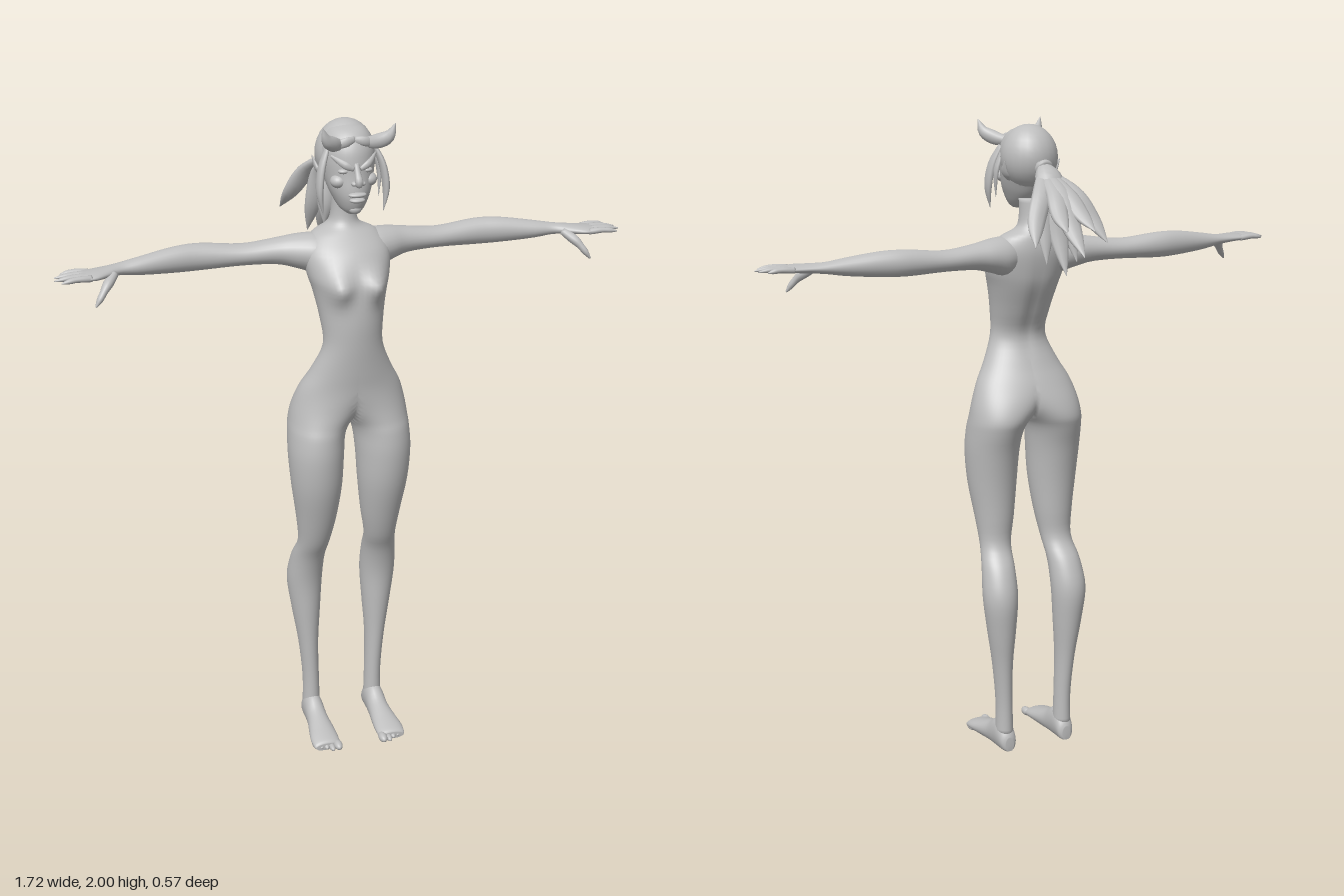
import * as THREE from 'three';

const clay = new THREE.MeshStandardMaterial({ color: 0xbebebe });
clay.name = 'clay grey';
const V = (x, y, z) => new THREE.Vector3(x, y, z);

// Smooth value between the rows of a cross-section table
function sample(rows, t) {
  const i = Math.min(Math.floor(t), rows.length - 2), f = t - i;
  const at = (k) => rows[Math.max(0, Math.min(rows.length - 1, k))];
  return rows[i].map((b, c) => {
    const a = at(i - 1)[c], d = at(i + 1)[c], e = at(i + 2)[c];
    return b + 0.5 * f * (d - a + f * (2 * a - 5 * b + 4 * d - e + f * (3 * (b - d) + e - a)));
  });
}

// Closed skin over interpolated sections; place(row, angle) gives a point
function loft(rows, place, around = 24, steps = 4) {
  const pos = [], idx = [], n = (rows.length - 1) * steps;
  for (let i = 0; i <= n; i++) {
    const row = sample(rows, i / steps);
    for (let j = 0; j < around; j++) pos.push(...place(row, (j / around) * Math.PI * 2));
  }
  for (let i = 0; i < n; i++) for (let j = 0; j < around; j++) {
    const a = i * around + j, b = i * around + (j + 1) % around;
    idx.push(a, b, a + around, b, b + around, a + around);
  }
  for (const ring of [0, n]) {
    const c = [0, 0, 0], s = ring * around, id = pos.length / 3;
    for (let j = 0; j < around; j++) for (let k = 0; k < 3; k++) c[k] += pos[(s + j) * 3 + k] / around;
    pos.push(...c);
    for (let j = 0; j < around; j++) {
      const a = s + j, b = s + (j + 1) % around;
      idx.push(id, ring ? a : b, ring ? b : a);
    }
  }
  // Turn the faces outwards if the signed volume is negative
  let vol = 0;
  const p = (k) => V(pos[k * 3], pos[k * 3 + 1] - 1, pos[k * 3 + 2]);
  for (let k = 0; k < idx.length; k += 3) vol += p(idx[k]).dot(p(idx[k + 1]).cross(p(idx[k + 2])));
  if (vol < 0) for (let k = 0; k < idx.length; k += 3) [idx[k], idx[k + 1]] = [idx[k + 1], idx[k]];
  const g = new THREE.BufferGeometry();
  g.setAttribute('position', new THREE.Float32BufferAttribute(pos, 3));
  g.setIndex(idx);
  g.computeVertexNormals();
  return g;
}

// Tapered strand along a few points; flat squeezes it across its width
function strand(points, radii, flat = 1, wide = V(1, 0, 0)) {
  const curve = new THREE.CatmullRomCurve3(points.map((q) => V(...q)));
  const last = radii.length - 1;
  return loft(radii.map((r, i) => [i / last, r]), ([t, r], a) => {
    const u = Math.max(0, Math.min(1, t)), c = curve.getPoint(u), d = curve.getTangent(u);
    const n = d.clone().cross(wide).normalize(), w = n.clone().cross(d).normalize();
    const q = c.addScaledVector(w, Math.cos(a) * r).addScaledVector(n, Math.sin(a) * r * flat);
    return [q.x, q.y, q.z];
  }, 12);
}

function blob(x, y, z, rx, ry, rz) {
  return new THREE.SphereGeometry(1, 24, 16).scale(rx, ry, rz).translate(x, y, z);
}

// Half body: y, inner x, outer x, back z, front z
const bodyRows = [
  [1.77, -0.036, 0.036, 0.03, 0.105], [1.71, -0.038, 0.038, 0.025, 0.105],
  [1.68, -0.052, 0.052, 0.015, 0.115], [1.655, -0.1, 0.1, 0.005, 0.14],
  [1.61, -0.128, 0.128, 0, 0.185], [1.55, -0.124, 0.124, 0.008, 0.217],
  [1.5, -0.11, 0.11, 0.022, 0.228], [1.42, -0.095, 0.095, 0.06, 0.234],
  [1.34, -0.09, 0.09, 0.094, 0.23], [1.26, -0.12, 0.122, 0.065, 0.222],
  [1.2, -0.13, 0.155, 0.035, 0.215], [1.14, -0.065, 0.175, 0.012, 0.212],
  [1.09, -0.01, 0.184, 0.004, 0.216], [1.05, 0.014, 0.188, 0.014, 0.224],
  [0.98, 0.022, 0.19, 0.035, 0.228], [0.88, 0.028, 0.182, 0.052, 0.217],
  [0.77, 0.041, 0.166, 0.06, 0.187], [0.68, 0.057, 0.157, 0.06, 0.156],
  [0.61, 0.063, 0.168, 0.015, 0.123], [0.52, 0.065, 0.176, -0.015, 0.102],
  [0.41, 0.072, 0.162, -0.007, 0.096], [0.29, 0.08, 0.143, 0.01, 0.091],
  [0.16, 0.079, 0.131, 0.021, 0.088], [0.05, 0.076, 0.132, 0.022, 0.09],
];
function halfBody(s) {
  const g = loft(bodyRows, ([y, inn, out, zb, zf], a) => {
    let x = (inn + out) / 2 + Math.cos(a) * (out - inn) / 2;
    let z = (zb + zf) / 2 + Math.sin(a) * (zf - zb) / 2;
    if (x < 1e-4) x = 0;
    const bust = Math.exp(-(((x - 0.062) / 0.036) ** 2) - ((y - 1.525) / 0.042) ** 2);
    const spine = Math.exp(-((x / 0.02) ** 2) - ((y - 1.43) / 0.13) ** 2);
    z += Math.sin(a) > 0 ? 0.042 * bust * Math.sin(a) : 0.008 * spine;
    return [s * x, y, z];
  }, 48);
  // Level the normals on the centre line so the halves meet smoothly
  const p = g.attributes.position, n = g.attributes.normal;
  for (let i = 0; i < p.count; i++) if (Math.abs(p.getX(i)) < 1e-4) {
    const v = V(0, n.getY(i), n.getZ(i)).normalize();
    n.setXYZ(i, v.x, v.y, v.z);
  }
  return g;
}

// Arm and palm: x, bottom y, top y, back z, front z
const armRows = [
  [0.04, 1.56, 1.65, 0.03, 0.13], [0.09, 1.54, 1.658, 0.008, 0.14],
  [0.14, 1.553, 1.655, 0.003, 0.122], [0.2, 1.567, 1.645, 0.006, 0.095],
  [0.3, 1.57, 1.634, 0.004, 0.08], [0.42, 1.566, 1.645, 0, 0.073],
  [0.5, 1.568, 1.644, 0.01, 0.079], [0.6, 1.576, 1.63, 0.03, 0.09],
  [0.66, 1.585, 1.62, 0.042, 0.095], [0.7, 1.588, 1.617, 0.05, 0.118],
  [0.74, 1.59, 1.615, 0.056, 0.143], [0.772, 1.593, 1.612, 0.06, 0.144],
  [0.782, 1.597, 1.608, 0.068, 0.136],
];
// Foot: z, centre x, half width, top y
const footRows = [
  [0.016, 0.103, 0.014, 0.045], [0.026, 0.103, 0.026, 0.065], [0.055, 0.104, 0.031, 0.1],
  [0.09, 0.104, 0.032, 0.095], [0.13, 0.104, 0.034, 0.07], [0.18, 0.106, 0.041, 0.052],
  [0.22, 0.108, 0.045, 0.04], [0.25, 0.108, 0.043, 0.03], [0.258, 0.108, 0.038, 0.022],
];
// Head: y, half width, back z, front z
const headRows = [
  [1.735, 0.018, 0.125, 0.177], [1.75, 0.036, 0.09, 0.19], [1.78, 0.052, 0.055, 0.202],
  [1.81, 0.064, 0.035, 0.203], [1.85, 0.074, 0.012, 0.198], [1.885, 0.079, 0, 0.196],
  [1.92, 0.078, -0.002, 0.19], [1.95, 0.067, 0.01, 0.174], [1.972, 0.047, 0.035, 0.147],
  [1.984, 0.012, 0.075, 0.105],
];

export function createModel() {
  const model = new THREE.Group();
  const add = (name, geometry) => {
    const m = new THREE.Mesh(geometry, clay);
    m.name = name;
    model.add(m);
  };

  for (const s of [1, -1]) {
    const side = s > 0 ? 'left' : 'right';
    const part = (name, pts, radii, flat, wide) =>
      add(side + name, strand(pts.map(([x, y, z]) => [s * x, y, z]), radii, flat, wide));
    add(side + 'BodyAndLeg', halfBody(s));
    add(side + 'Arm', loft(armRows, ([x, yb, yt, zb, zf], a) => [s * x,
      (yb + yt) / 2 + Math.sin(a) * (yt - yb) / 2, (zb + zf) / 2 + Math.cos(a) * (zf - zb) / 2]));

    // Fingers and thumb
    [[0.068, 0.066, 0.835], [0.09, 0.094, 0.855], [0.112, 0.12, 0.858], [0.134, 0.147, 0.842]]
      .forEach(([z0, z1, tip]) => part('Finger', [[0.755, 1.602, z0], [0.8, 1.605, (z0 + z1) / 2], [tip, 1.6, z1]],
        [0.01, 0.0105, 0.009, 0.008, 0.002], 0.9, V(0, 0, 1)));
    part('Thumb', [[0.685, 1.6, 0.1], [0.715, 1.575, 0.135], [0.735, 1.55, 0.152], [0.752, 1.526, 0.16]],
      [0.013, 0.016, 0.012, 0.01, 0.003], 0.9, V(0, 0, 1));

    // Foot and toes
    add(side + 'Foot', loft(footRows, ([z, cx, w, top], a) =>
      [s * (cx + Math.cos(a) * w), Math.max(0, top * (0.45 + 0.55 * Math.sin(a))), z]));
    [0.075, 0.095, 0.111, 0.127, 0.142].forEach((x, i) => {
      const r = i ? 0.0095 : 0.0135;
      add(side + 'Toe', blob(s * x, r, 0.26 - 0.007 * i * (i > 1 ? 1 : 0), r, r, i ? 0.022 : 0.025));
    });

    // Horn, ear and hanging side locks
    part('Horn', [[0.035, 1.935, 0.155], [0.066, 1.945, 0.185], [0.092, 1.963, 0.205], [0.106, 2.0, 0.215]],
      [0.014, 0.021, 0.017, 0.001], 0.8, V(0, 1, 0));
    part('Ear', [[0.068, 1.83, 0.085], [0.082, 1.85, 0.075], [0.092, 1.885, 0.055]],
      [0.012, 0.018, 0.002], 0.4, V(0, 0, 1));
    part('SideLock', [[0.068, 1.925, 0.135], [0.09, 1.87, 0.15], [0.099, 1.8, 0.16], [0.09, 1.735, 0.165]],
      [0.012, 0.02, 0.019, 0.001], 0.5, V(0, 0, 1));
    part('ThinLock', [[0.07, 1.91, 0.12], [0.088, 1.85, 0.125], [0.085, 1.77, 0.135]],
      [0.01, 0.014, 0.001], 0.5, V(0, 0, 1));

    // Half of the face
    part('Brow', [[0.01, 1.872, 0.2], [0.035, 1.885, 0.195], [0.066, 1.906, 0.162]], [0.006, 0.011, 0.004], 0.7, V(0, 1, 0));
    add(side + 'Eye', blob(s * 0.034, 1.864, 0.179, 0.017, 0.008, 0.014));
    add(side + 'Cheek', blob(s * 0.045, 1.832, 0.163, 0.024, 0.02, 0.025));
    add(side + 'Nostril', blob(s * 0.012, 1.833, 0.209, 0.009, 0.007, 0.011));
    part('HairlineTuft', [[0, 1.95, 0.172], [0.028, 1.945, 0.178], [0.058, 1.935, 0.168]],
      [0.01, 0.014, 0.01], 0.6, V(0, 1, 0));

    // Outer ponytail locks
    [[0.05, 1.60, -0.14], [0.118, 1.66, -0.205], [0.045, 1.705, -0.262], [0.03, 1.65, -0.03]].forEach(([x, y, z]) =>
      part('PonytailLock', [[0.006, 1.86, -0.025], [x * 0.45, 1.8, z * 0.4 - 0.03], [x * 0.8, (y + 1.8) / 2 - 0.01, z * 0.72 - 0.01], [x, y, z]],
        [0.014, 0.026, 0.03, 0.022, 0.001], 0.55));
  }

  // Head and hair
  add('head', loft(headRows, ([y, w, zb, zf], a) =>
    [Math.cos(a) * w, y, (zb + zf) / 2 + Math.sin(a) * (zf - zb) / 2], 32));
  add('hairCap', blob(0, 1.893, 0.079, 0.087, 0.098, 0.09));
  add('nose', strand([[0, 1.885, 0.19], [0, 1.86, 0.204], [0, 1.835, 0.218], [0, 1.825, 0.2]],
    [0.008, 0.009, 0.012, 0.005]));
  add('upperLip', blob(0, 1.798, 0.2, 0.027, 0.008, 0.016));
  add('lowerLip', blob(0, 1.782, 0.199, 0.023, 0.008, 0.017));
  add('chin', blob(0, 1.751, 0.179, 0.019, 0.015, 0.015));

  // Ponytail tie and middle locks
  const tie = new THREE.TorusGeometry(0.02, 0.009, 10, 24).rotateX(-0.5).translate(0, 1.867, -0.02);
  add('ponytailTie', tie);
  add('ponytailRoot', strand([[0, 1.88, 0.005], [0, 1.865, -0.03], [0, 1.8, -0.08], [0, 1.7, -0.14]],
    [0.02, 0.022, 0.045, 0.035, 0.002], 0.65));
  [[1.635, -0.284], [1.566, -0.17]].forEach(([y, z]) =>
    add('ponytailLock', strand([[0, 1.86, -0.025], [0, 1.8, z * 0.4 - 0.02], [0, (y + 1.8) / 2 - 0.01, z * 0.72], [0, y, z]],
      [0.014, 0.028, 0.036, 0.026, 0.001], 0.55)));
  return model;
}
